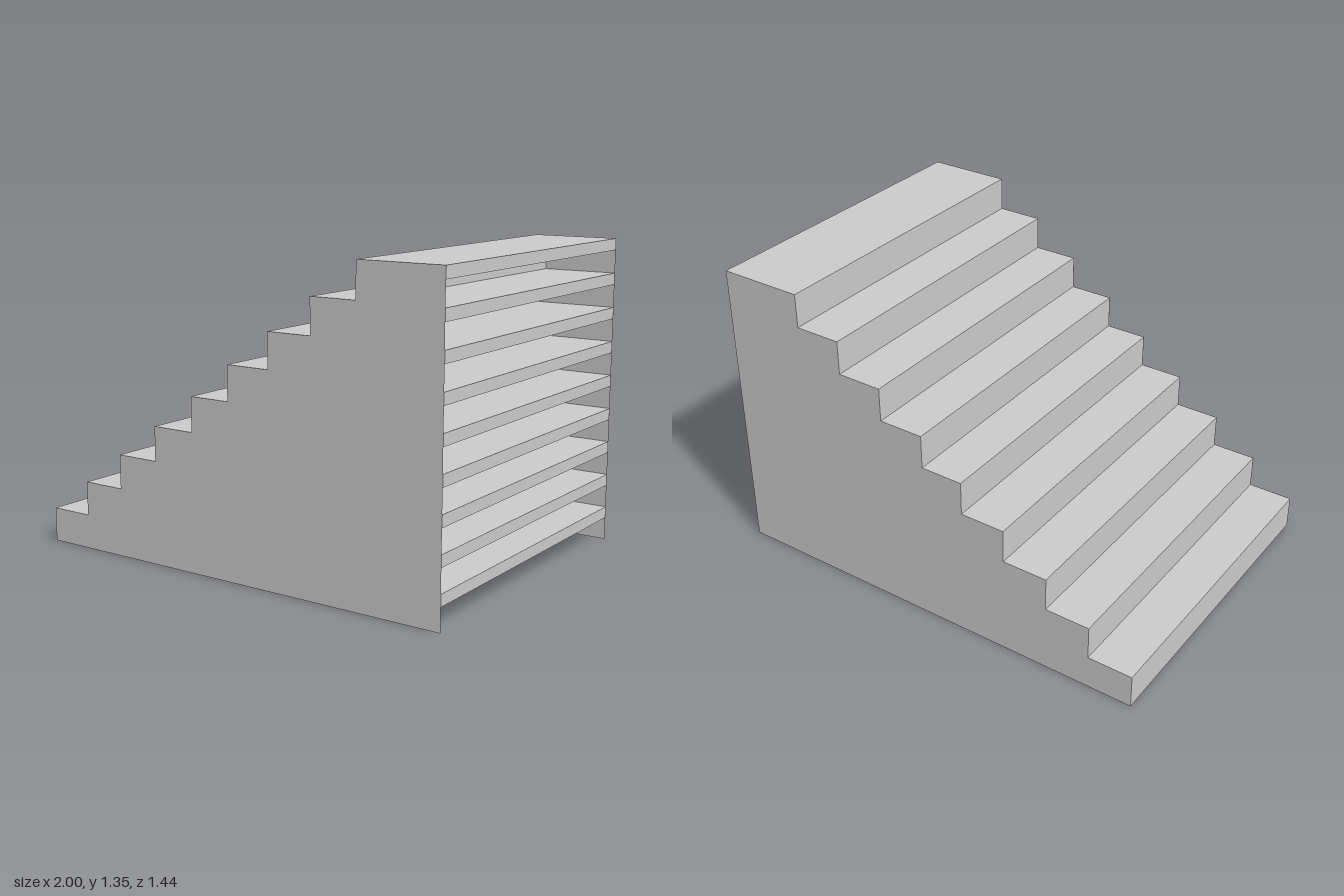
import * as THREE from 'three';

export function createModel() {
  const group = new THREE.Group();
  group.name = 'staircase';
  const solid = new THREE.MeshStandardMaterial({ color: 0xcccccc });
  const thin = new THREE.MeshStandardMaterial({ color: 0xcccccc, side: THREE.DoubleSide });

  const halfDepth = 0.718, rise = 0.15, slab = 0.05, riserThickness = 0.05, endX = 1;
  // x of each riser face, bottom step first
  const risers = [-1, -0.797, -0.594, -0.39, -0.187, 0.005, 0.208, 0.412, 0.62];

  const addBox = (name, x0, x1, y0, y1) => {
    const mesh = new THREE.Mesh(new THREE.BoxGeometry(x1 - x0, y1 - y0, halfDepth * 2), solid);
    mesh.position.set((x0 + x1) / 2, (y0 + y1) / 2, 0);
    mesh.name = name;
    group.add(mesh);
  };

  // each tread runs through to the open end, with a riser board under its nose
  const profile = new THREE.Shape().moveTo(endX, 0).lineTo(risers[0], 0);
  risers.forEach((x, i) => {
    const bottom = i * rise, top = bottom + rise;
    addBox(`tread${i + 1}`, x, endX, top - slab, top);
    addBox(`riser${i + 1}`, x, x + riserThickness, bottom, top - slab);
    profile.lineTo(x, bottom).lineTo(x, top);
  });
  profile.lineTo(endX, risers.length * rise).closePath();

  // thin stepped side walls
  for (const side of [-1, 1]) {
    const wall = new THREE.Mesh(new THREE.ShapeGeometry(profile), thin);
    wall.position.z = side * (halfDepth + 0.001);
    wall.name = side > 0 ? 'frontWall' : 'backWall';
    group.add(wall);
  }
  return group;
}
